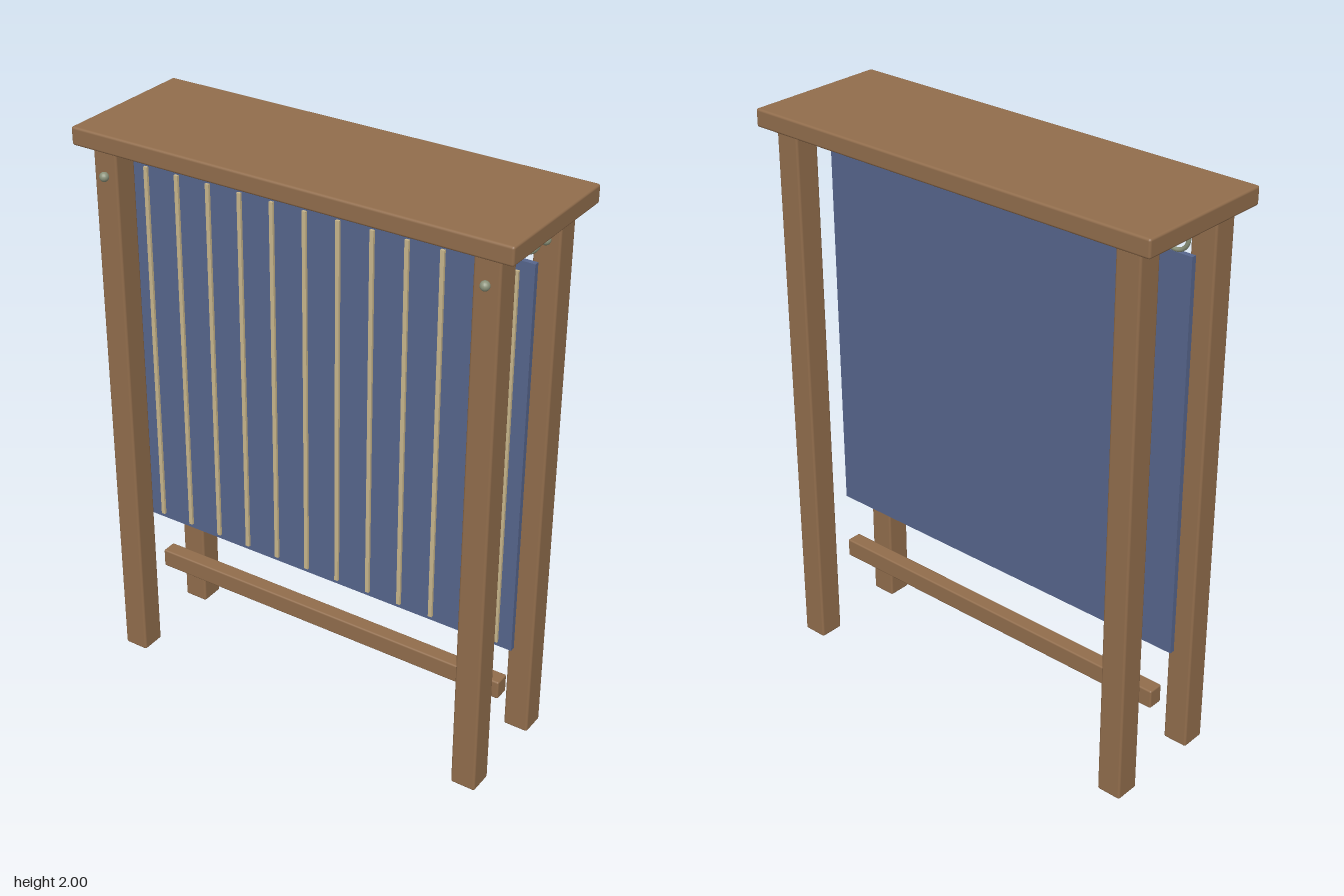
import * as THREE from 'three';
import { RoundedBoxGeometry } from 'three/addons/geometries/RoundedBoxGeometry.js';

export function createModel() {
  const model = new THREE.Group();
  const paint = (color) => new THREE.MeshStandardMaterial({ color });
  const wood = paint(0x916d4c);
  const cloth = paint(0x56658c);
  const cane = paint(0xc8b68c);
  const metal = paint(0x8b927a);

  const add = (name, geometry, material, x, y, z) => {
    const mesh = new THREE.Mesh(geometry, material);
    mesh.name = name;
    mesh.position.set(x, y, z);
    model.add(mesh);
    return mesh;
  };

  // Top board and lower stretcher, with softly eased edges
  add('topBoard', new RoundedBoxGeometry(1.57, 0.062, 0.52, 2, 0.008), wood, 0, 1.969, 0);
  add('stretcher', new RoundedBoxGeometry(1.39, 0.068, 0.056, 2, 0.006), wood, 0, 0.272, 0);

  // Four legs, each with a round peg on its front face
  const legGeometry = new RoundedBoxGeometry(0.09, 1.938, 0.09, 2, 0.008);
  const pegGeometry = new THREE.SphereGeometry(0.016, 16, 12);
  for (const x of [-0.685, 0.685]) {
    for (const z of [-0.18, 0.18]) {
      add('leg', legGeometry, wood, x, 0.969, z);
      add('peg', pegGeometry, metal, x, 1.845, z + 0.053);
    }
    // Hanging ring under the top board
    add('hangingRing', new THREE.TorusGeometry(0.043, 0.007, 10, 32), metal, x, 1.9, 0);
  }

  // Hanging panel with twelve thin slats on its front
  add('panel', new THREE.BoxGeometry(1.47, 1.385, 0.018), cloth, 0, 1.15, 0.021);
  const slatGeometry = new THREE.BoxGeometry(0.014, 1.335, 0.01);
  for (let i = 0; i < 12; i++) {
    add('slat', slatGeometry, cane, (i - 5.5) * 0.1235, 1.143, 0.034);
  }

  return model;
}
